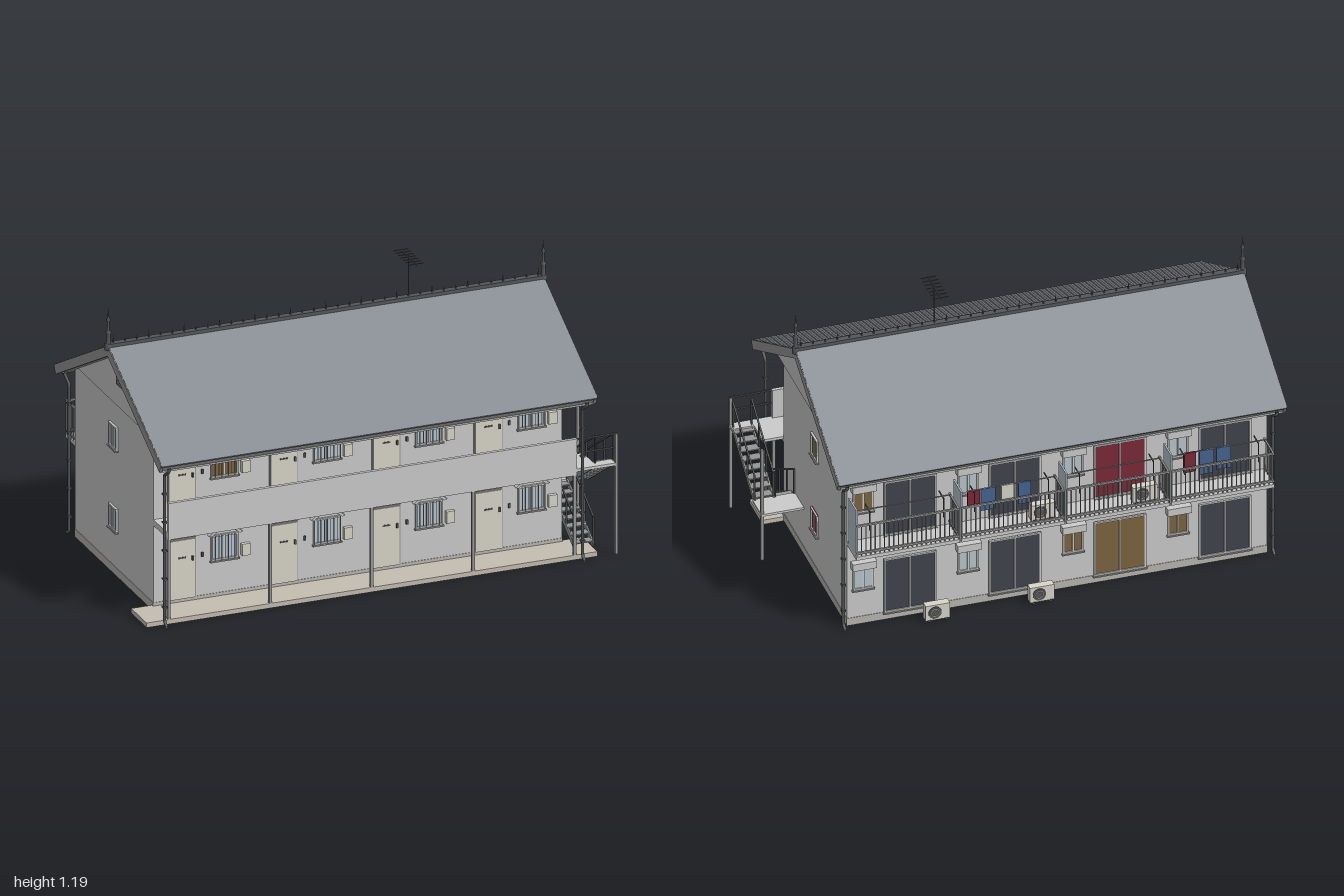
import * as THREE from 'three';

const GREY = 0xcccccc, DARK = 0x55585a, TRIM = 0x979797, BEIGE = 0xd9d6ca, GLASS = 0xb8c6cf;
const NIGHT = 0x40454c, BROWN = 0x7d6440, RED = 0x7a2a38, TILE = 0x80868c, BLUE = 0x46648f;
const mats = {};
const mat = c => (mats[c] ??= new THREE.MeshStandardMaterial({ color: c, side: THREE.DoubleSide }));

function add(parent, name, geo, color = GREY) {
  const m = new THREE.Mesh(geo, mat(color));
  m.name = name;
  parent.add(m);
  return m;
}
function group(parent, name) {
  const g = new THREE.Group();
  g.name = name;
  parent.add(g);
  return g;
}
// box given by its limits on each axis
function box(parent, name, x0, x1, y0, y1, z0, z1, color) {
  const m = add(parent, name, new THREE.BoxGeometry(Math.abs(x1 - x0), y1 - y0, Math.abs(z1 - z0)), color);
  m.position.set((x0 + x1) / 2, (y0 + y1) / 2, (z0 + z1) / 2);
  return m;
}
// square beam between two points in a plane of constant x
function beam(parent, name, x, a, b, w, h, color) {
  const dz = b[0] - a[0], dy = b[1] - a[1];
  const m = add(parent, name, new THREE.BoxGeometry(w, h, Math.hypot(dz, dy)), color);
  m.position.set(x, (a[1] + b[1]) / 2, (a[0] + b[0]) / 2);
  m.rotation.x = -Math.atan2(dy, dz);
  return m;
}
// two-pane window facing +z of its own group
function windowUnit(parent, name, w, h, glass, sill = true) {
  const g = group(parent, name), f = 0.007;
  box(g, 'pane', -w / 2, w / 2, 0, h, 0, 0.004, glass);
  for (const x of [-w / 2, -f / 2, w / 2 - f]) box(g, 'frameUpright', x, x + f, 0, h, 0, 0.009);
  for (const y of [0, h - f]) box(g, 'frameRail', -w / 2, w / 2, y, y + f, 0, 0.0095);
  if (sill) box(g, 'sill', -w / 2 - 0.004, w / 2 + 0.004, -0.006, 0, 0, 0.014, TRIM);
  return g;
}

function buildRoof(root) {
  const roof = group(root, 'roof'), a = Math.atan2(0.295, 0.555), L = 0.628, rows = 14;
  for (const turn of [0, Math.PI]) {
    const s = group(roof, 'roofSlope');
    s.position.set(-0.045, 1.005, 0.02);
    s.rotation.set(a, turn, 0, 'YXZ');
    box(s, 'roofDeck', -0.915, 0.915, -0.035, -0.004, 0, L - 0.004, TRIM);
    for (const e of [-1, 1]) box(s, 'bargeBoard', e * 0.925, e * 0.912, -0.037, 0.002, 0, L, TRIM);
    for (let i = 0; i < rows; i++) {
      const t = box(s, 'tileCourse', -0.922, 0.922, -0.005, 0.004, i * L / rows, (i + 1.12) * L / rows, TILE);
      t.rotation.x = -0.1 + 0.18;
    }
    // half-round gutter
    const gutter = add(s, 'gutter', new THREE.CylinderGeometry(0.014, 0.014, 1.84, 10, 1, true, Math.PI / 2, Math.PI), TRIM);
    gutter.rotation.set(-a, 0, Math.PI / 2, 'XYZ');
    gutter.position.set(0, -0.025, L - 0.004);
  }
  // ridge cap, cresting and finials
  box(roof, 'ridgeCap', -0.97, 0.88, 0.995, 1.018, 0.006, 0.034, DARK);
  for (let i = 0; i < 37; i++) {
    const p = add(roof, 'crestSpike', new THREE.ConeGeometry(0.004, i % 3 ? 0.018 : 0.034, 5), DARK);
    p.position.set(-0.945 + i * 0.05, i % 3 ? 1.026 : 1.034, 0.02);
  }
  const profile = [[0.016, 0.99], [0.016, 1.015], [0.009, 1.02], [0.009, 1.06], [0.013, 1.065], [0.006, 1.072],
    [0.005, 1.11], [0.009, 1.118], [0.004, 1.128], [0, 1.165]].map(p => new THREE.Vector2(...p));
  for (const x of [-0.966, 0.876]) add(roof, 'finial', new THREE.LatheGeometry(profile, 8), DARK).position.set(x, 0, 0.02);
  // aerial
  const an = group(roof, 'aerial');
  box(an, 'mast', 0.303, 0.307, 1, 1.19, 0.018, 0.022, DARK);
  box(an, 'boom', 0.303, 0.307, 1.178, 1.182, -0.068, 0.105, DARK);
  for (let i = 0; i < 7; i++) {
    const z = -0.062 + i * 0.026;
    box(an, 'element', 0.273, 0.337, 1.18, 1.183, z, z + 0.003, DARK);
  }
}

function buildBody(root) {
  box(root, 'walls', -0.91, 0.82, 0, 0.735, -0.46, 0.35);
  box(root, 'foundation', -0.912, 0.822, 0, 0.034, -0.462, 0.352, 0xb9b7b0);
  const tri = new THREE.Shape([[-0.53, 0.73], [0.49, 0.73], [-0.02, 0.998]].map(p => new THREE.Vector2(...p)));
  const gable = add(root, 'gableAndSoffit', new THREE.ExtrudeGeometry(tri, { depth: 1.738, bevelEnabled: false }));
  gable.rotation.y = Math.PI / 2;
  gable.position.x = -0.914;
  // end walls: vent and two windows each
  for (const [x, s] of [[0.82, 1], [-0.91, -1]]) {
    const v = group(root, 'gableVent');
    box(v, 'ventPanel', x, x + s * 0.01, 0.825, 0.875, -0.012, 0.054, TRIM);
    for (let i = 0; i < 5; i++) box(v, 'ventSlat', x, x + s * 0.013, 0.831 + i * 0.009, 0.834 + i * 0.009, -0.008, 0.05, TRIM);
    for (const [y, c] of [[0.19, s > 0 ? RED : GLASS], [0.537, s > 0 ? BROWN : GLASS]]) {
      const w = windowUnit(root, 'endWindow', 0.08, 0.098, c);
      w.position.set(x, y, -0.057);
      w.rotation.y = s * Math.PI / 2;
    }
  }
  // downpipes at the four corners
  for (const x of [-0.93, 0.84]) for (const [e, w, k] of [[0.562, 0.516, 0.54], [-0.525, -0.474, -0.5]]) {
    const path = new THREE.CurvePath();
    const pts = [[0.69, e], [0.675, e], [0.645, w], [0.022, w], [0.006, k]].map(p => new THREE.Vector3(x, p[0], p[1]));
    for (let i = 0; i < 4; i++) path.add(new THREE.LineCurve3(pts[i], pts[i + 1]));
    add(root, 'downpipe', new THREE.TubeGeometry(path, 60, 0.0065, 8), DARK);
    for (let i = 0; i < 5; i++) box(root, 'pipeClip', x - 0.009, x + 0.009, 0.08 + i * 0.12, 0.087 + i * 0.12, w - 0.009, w + 0.009, DARK);
  }
}

function buildFront(root) {
  box(root, 'groundSlab', -1, 0.91, 0, 0.02, 0.34, 0.5, 0xc4bdb2);
  box(root, 'walkwayFloor', -0.91, 0.82, 0.362, 0.387, 0.345, 0.5);
  box(root, 'walkwayParapet', -0.91, 0.82, 0.36, 0.515, 0.49, 0.505);
  for (const x of [-0.91, 0.808]) box(root, 'parapetReturn', x, x + 0.012, 0.362, 0.387, 0.35, 0.5);
  for (let i = 0; i < 5; i++) box(root, 'walkwayPost', -0.91 + i * 0.4295, -0.898 + i * 0.4295, 0.02, 0.365, 0.488, 0.5, TRIM);
  const hood = new THREE.Shape([[-0.072, 0], [0, 0.054], [0.072, 0], [0.06, -0.004], [0, 0.04], [-0.06, -0.004]].map(p => new THREE.Vector2(...p)));
  for (const y of [0.034, 0.387]) for (let u = 0; u < 4; u++) {
    const g = group(root, 'entranceBay');
    g.position.set(-0.91 + u * 0.433, y, 0.35);
    box(g, 'doorFrame', 0.057, 0.178, 0, 0.256, 0, 0.005, TRIM);
    box(g, 'door', 0.062, 0.173, 0, 0.25, 0, 0.009, BEIGE);
    box(g, 'letterSlot', 0.1, 0.133, 0.172, 0.178, 0, 0.012, DARK);
    box(g, 'doorHandle', 0.158, 0.165, 0.16, 0.178, 0, 0.018, DARK);
    box(g, 'doorbell', 0.202, 0.211, 0.165, 0.183, 0, 0.008, DARK);
    box(g, 'meterBox', 0.37, 0.405, 0.145, 0.195, 0, 0.016, BEIGE);
    box(g, 'ceilingLamp', 0.18, 0.27, 0.315, 0.322, 0.06, 0.075, BEIGE);
    const w = windowUnit(g, 'kitchenWindow', 0.115, 0.108, u === 0 && y > 0.3 ? BROWN : GLASS);
    w.position.set(0.3, 0.14, 0);
    for (let i = 0; i < 9; i++) box(w, 'latticeBar', -0.056 + i * 0.0137, -0.0535 + i * 0.0137, 0, 0.106, 0.01, 0.013, TRIM);
    const h = add(g, 'windowHood', new THREE.ExtrudeGeometry(hood, { depth: 0.02, bevelEnabled: false }), GREY);
    h.position.set(0.3, 0.252, 0);
  }
}

function airConditioner(parent, x, y, z) {
  const g = group(parent, 'airConditioner');
  g.position.set(x, y, z);
  box(g, 'casing', -0.05, 0.05, 0.006, 0.074, -0.017, 0.017, BEIGE);
  for (const e of [-0.035, 0.035]) box(g, 'foot', e - 0.006, e + 0.006, 0, 0.008, -0.02, 0.02, DARK);
  const fan = add(g, 'fanGrille', new THREE.CylinderGeometry(0.027, 0.027, 0.004, 20), DARK);
  fan.rotation.x = Math.PI / 2;
  fan.position.set(0.012, 0.04, -0.018);
  add(g, 'fanRing', new THREE.TorusGeometry(0.016, 0.002, 5, 18), BEIGE).position.set(0.012, 0.04, -0.02);
}

function buildBack(root) {
  const doors = [[NIGHT, NIGHT], [NIGHT, NIGHT], [BROWN, RED], [NIGHT, NIGHT]];
  const panes = [[GLASS, BROWN], [GLASS, GLASS], [BROWN, GLASS], [BROWN, GLASS]];
  for (let u = 0; u < 4; u++) {
    const xr = 0.82 - u * 0.4325, xl = xr - 0.425;
    [0.034, 0.392].forEach((y, f) => {
      const d = windowUnit(root, 'slidingDoor', 0.215, 0.248, doors[u][f]);
      d.position.set(xr - 0.258, y, -0.46);
      const w = windowUnit(root, 'backWindow', 0.085, 0.1, panes[u][f]);
      w.position.set(xr - 0.065, y + 0.128, -0.46);
      d.rotation.y = w.rotation.y = Math.PI;
      box(root, 'windowHood', xr - 0.115, xr - 0.015, y + 0.23, y + 0.262, -0.46, -0.489);
    });
    // balcony with railing and side screen
    const b = group(root, 'balcony');
    box(b, 'balconyFloor', xl, xr, 0.375, 0.391, -0.46, -0.58);
    box(b, 'sideScreen', xr - 0.007, xr, 0.391, 0.605, -0.478, -0.575, GLASS);
    for (const y of [0.402, 0.528]) {
      box(b, 'rail', xl, xr, y, y + 0.008, -0.571, -0.579, TRIM);
      box(b, 'sideRail', xl, xl + 0.007, y, y + 0.008, -0.46, -0.575, TRIM);
    }
    for (let i = 0; i <= 22; i++) {
      const x = xl + i * 0.0191;
      box(b, 'baluster', x, x + 0.004, 0.391, 0.53, -0.573, -0.577, TRIM);
    }
    for (let i = 1; i < 6; i++) box(b, 'sideBaluster', xl + 0.001, xl + 0.005, 0.391, 0.53, -0.46 - i * 0.02, -0.464 - i * 0.02, TRIM);
    // drying pole on two arms
    box(b, 'dryingPole', xl + 0.03, xr - 0.03, 0.588, 0.592, -0.553, -0.557, TRIM);
    for (const x of [xl + 0.06, xr - 0.06]) {
      box(b, 'poleArm', x, x + 0.004, 0.584, 0.589, -0.51, -0.565, DARK);
      box(b, 'poleStand', x, x + 0.004, 0.5, 0.589, -0.566, -0.57, DARK);
    }
  }
  for (const [x, y, z] of [[0.47, 0, -0.518], [0.04, 0, -0.518], [0.04, 0.391, -0.532], [-0.38, 0.391, -0.532]]) airConditioner(root, x, y, z);
  // laundry: centre x, width, drop, colour
  for (const [x, w, d, c] of [[0.33, 0.05, 0.07, RED], [0.27, 0.06, 0.1, BLUE], [0.19, 0.05, 0.08, BEIGE], [0.12, 0.05, 0.1, BLUE],
    [-0.56, 0.05, 0.09, RED], [-0.63, 0.06, 0.11, BLUE], [-0.7, 0.06, 0.1, BLUE]])
    box(root, 'laundry', x - w / 2, x + w / 2, 0.592 - d, 0.592, -0.551, -0.559, c);
}

function buildStairs(root) {
  const st = group(root, 'outsideStairs');
  box(st, 'middleLanding', 0.82, 0.995, 0.205, 0.215, 0.09, 0.205);
  box(st, 'topLanding', 0.82, 0.995, 0.375, 0.387, 0.46, 0.505);
  box(st, 'topLandingInner', 0.82, 0.905, 0.375, 0.387, 0.35, 0.46);
  for (const [z, y] of [[0.1, 0.51], [0.5, 0.51]]) box(st, 'stairPost', 0.983, 0.995, 0, y, z - 0.006, z + 0.006, TRIM);
  for (const y of [0.45, 0.508]) box(st, 'landingRail', 0.82, 0.995, y, y + 0.006, 0.497, 0.503, DARK);
  // flights: x range, bottom and top as [z, y]
  for (const [x0, x1, lo, hi] of [[0.825, 0.902, [0.475, 0.04], [0.2, 0.208]], [0.91, 0.987, [0.2, 0.208], [0.475, 0.382]]]) {
    const at = t => [lo[0] + (hi[0] - lo[0]) * t, lo[1] + (hi[1] - lo[1]) * t];
    for (const x of [x0, x1]) {
      beam(st, 'stringer', x, lo, hi, 0.006, 0.024, TRIM);
      beam(st, 'handrail', x, [lo[0], lo[1] + 0.12], [hi[0], hi[1] + 0.12], 0.006, 0.007, DARK);
      for (let i = 0; i < 4; i++) {
        const [z, y] = at(i / 3);
        box(st, 'railPost', x - 0.003, x + 0.003, y, y + 0.12, z - 0.003, z + 0.003, DARK);
      }
    }
    for (let i = 0; i < 8; i++) {
      const [z, y] = at((i + 0.5) / 8);
      box(st, 'tread', x0, x1, y + 0.004, y + 0.009, z - 0.02, z + 0.02, TRIM);
    }
  }
}

export function createModel() {
  const root = new THREE.Group();
  root.name = 'apartmentHouse';
  for (const part of [buildBody, buildRoof, buildFront, buildBack, buildStairs]) part(root);
  return root;
}
